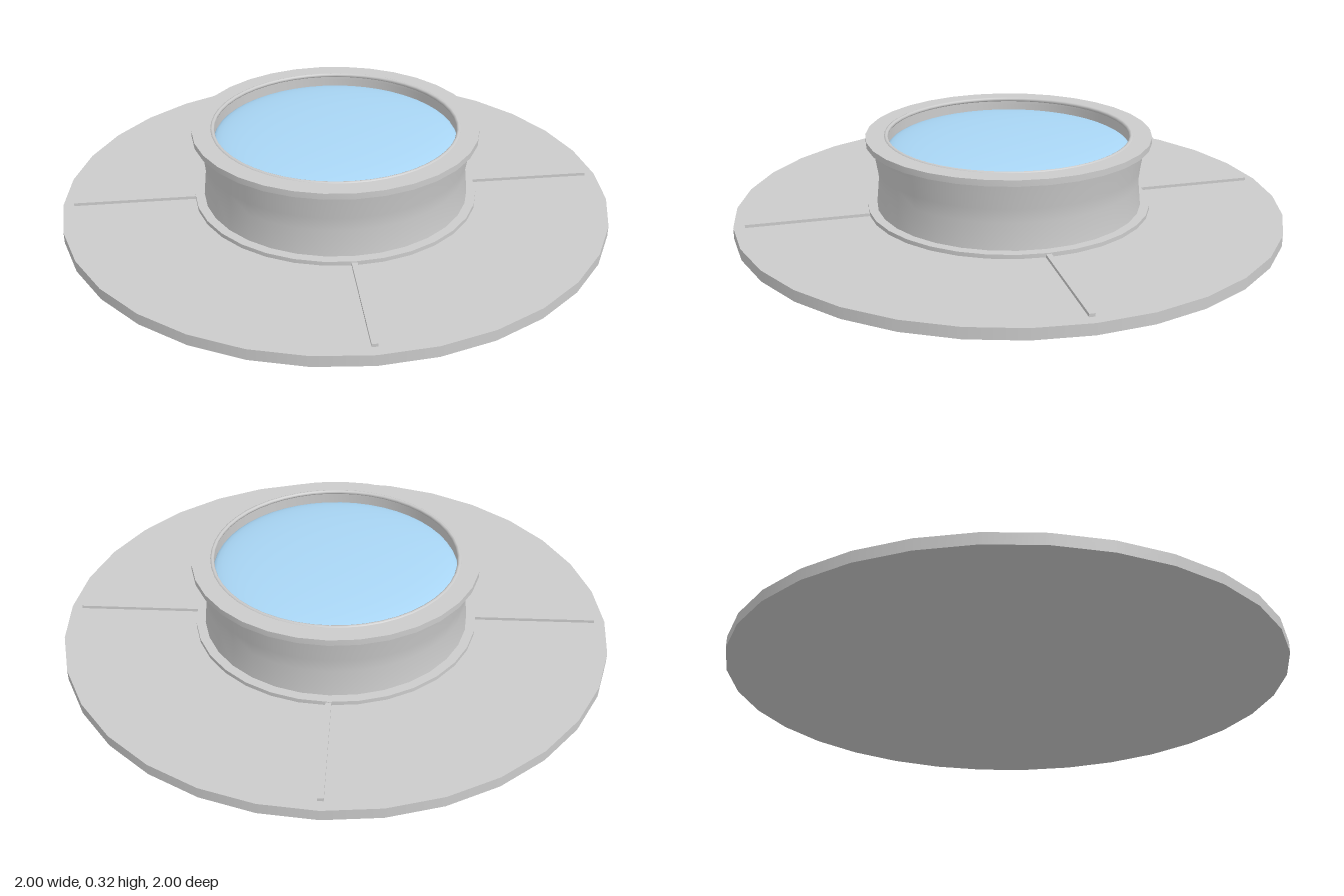
import * as THREE from 'three';
import { toCreasedNormals } from 'three/addons/utils/BufferGeometryUtils.js';

const SEGMENTS = 32;
const grey = new THREE.MeshStandardMaterial({ color: 0xcccccc });
const blue = new THREE.MeshStandardMaterial({ color: 0xa9d6f5 });

// Turned part from [radius, height] points, listed counter-clockwise
function turned(points) {
  const profile = points.map(([r, y]) => new THREE.Vector2(r, y));
  return toCreasedNormals(new THREE.LatheGeometry(profile, SEGMENTS), 0.5);
}

export function createModel() {
  const model = new THREE.Group();
  model.name = 'roundSkylight';
  const add = (name, geometry, material = grey) => {
    const mesh = new THREE.Mesh(geometry, material);
    mesh.name = name;
    model.add(mesh);
    return mesh;
  };

  // Flat round base
  add('basePlate', new THREE.CylinderGeometry(1, 1, 0.04, SEGMENTS)).position.y = 0.02;

  // Thin flange where the collar meets the base
  add('footFlange', turned([[0.44, 0.04], [0.52, 0.04], [0.52, 0.055], [0.44, 0.055]]));

  // Waisted collar with an inner wall
  add('collar', turned([
    [0.487, 0.05], [0.477, 0.15], [0.482, 0.2], [0.498, 0.297],
    [0.45, 0.297], [0.45, 0.05],
  ]));

  // Top rim
  add('topRim', turned([
    [0.45, 0.293], [0.52, 0.293], [0.52, 0.315], [0.45, 0.315], [0.45, 0.293],
  ]));

  // Slim bead that holds the glass
  const bead = add('glassBead', new THREE.TorusGeometry(0.446, 0.008, 8, 48));
  bead.rotation.x = Math.PI / 2;
  bead.position.y = 0.311;

  // Shallow domed glass, set just below the rim
  const glass = add('glassDome',
    new THREE.SphereGeometry(0.445, 48, 12, 0, Math.PI * 2, 0, Math.PI / 2), blue);
  glass.scale.y = 0.11;
  glass.position.y = 0.26;

  // Four radial ribs on the base
  for (let i = 0; i < 4; i++) {
    const angle = (i * Math.PI) / 2;
    const rib = add('radialRib', new THREE.BoxGeometry(0.46, 0.02, 0.02));
    rib.position.set(Math.cos(angle) * 0.73, 0.041, -Math.sin(angle) * 0.73);
    rib.rotation.y = angle;
  }
  return model;
}
